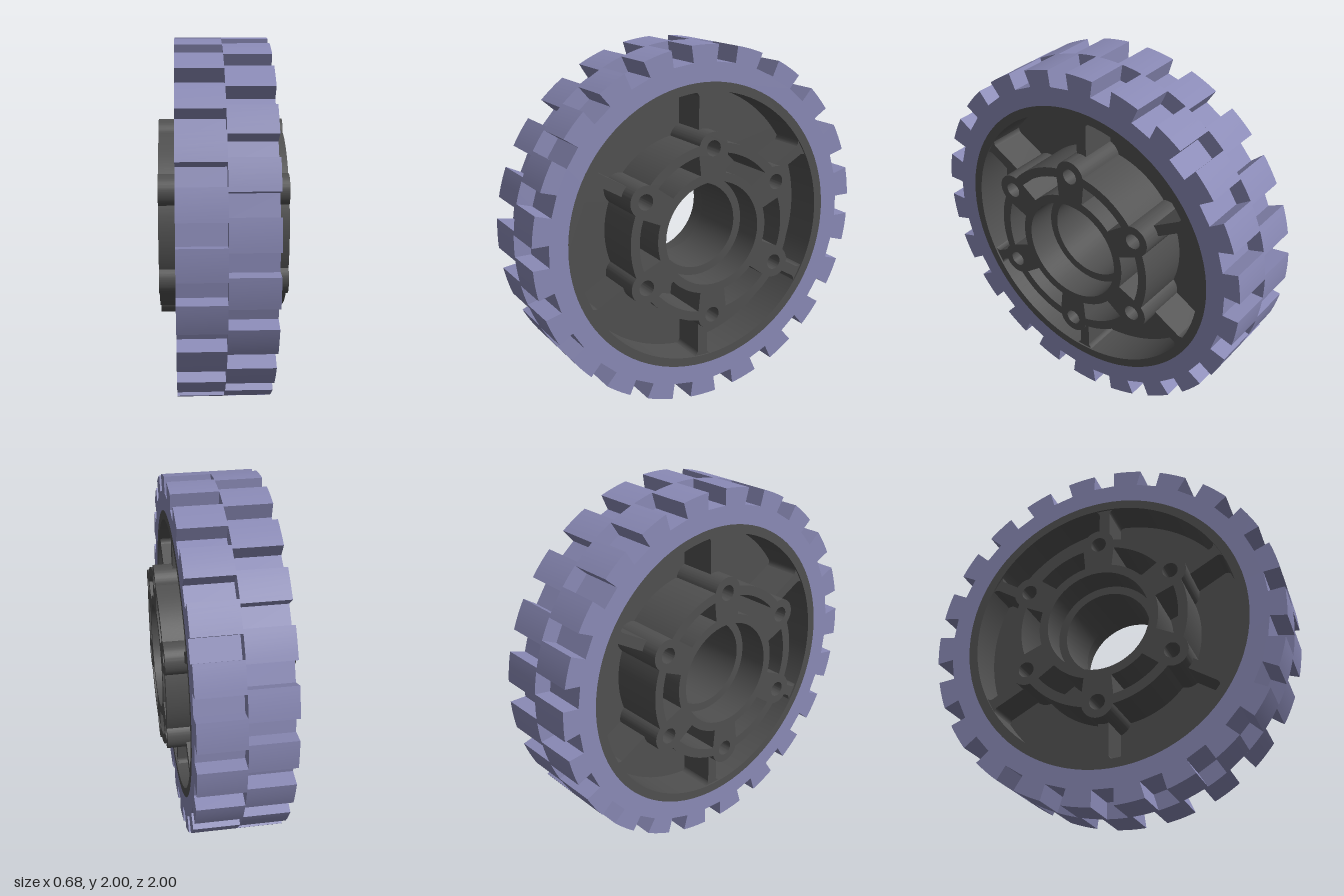
import * as THREE from 'three';
import { toCreasedNormals } from 'three/addons/utils/BufferGeometryUtils.js';

const TAU = Math.PI * 2;
const BOLT_R = 0.47, BOSS_R = 0.088, HOLE_R = 0.043;
const boltAngles = Array.from({ length: 6 }, (_, i) => Math.PI / 6 + (i * TAU) / 6);

const circle = (r, x = 0, y = 0) => new THREE.Path().absarc(x, y, r, 0, TAU, false);
const boltHoles = () => boltAngles.map(a => circle(HOLE_R, BOLT_R * Math.cos(a), BOLT_R * Math.sin(a)));

// Extrudes a profile along the axle (x) from x0 to x1, keeping curved walls smooth
function axleExtrude(shape, x0, x1, curveSegments = 24) {
  const g = new THREE.ExtrudeGeometry(shape, { depth: x1 - x0, bevelEnabled: false, curveSegments });
  g.translate(0, 0, x0);
  g.rotateY(Math.PI / 2);
  return toCreasedNormals(g, 0.5);
}

// Disc with a concentric hole
function ringShape(outer, inner) {
  const s = new THREE.Shape().absarc(0, 0, outer, 0, TAU, false);
  s.holes.push(circle(inner));
  return s;
}

// Tyre row: circle with square notches cut into its edge
function treadShape(phase) {
  const n = 22, half = 0.06, floor = 0.908, edge = Math.asin(half), pts = [];
  for (let i = 0; i < n; i++) {
    const a = ((i + phase) * TAU) / n, c = Math.cos(a), s = Math.sin(a);
    for (const side of [-half, half]) pts.push(new THREE.Vector2(floor * c - side * s, floor * s + side * c));
    const span = TAU / n - 2 * edge;
    for (let k = 0; k <= 6; k++) {
      const t = a + edge + (span * k) / 6;
      pts.push(new THREE.Vector2(Math.cos(t), Math.sin(t)));
    }
  }
  const shape = new THREE.Shape(pts);
  shape.holes.push(circle(0.805));
  return shape;
}

// Hub: round wall with six bolt bosses, a bore and curved pockets between the bosses
function hubShape() {
  const R = 0.497;
  const t = Math.acos((R * R + BOLT_R * BOLT_R - BOSS_R * BOSS_R) / (2 * R * BOLT_R));
  const b = Math.atan2(R * Math.sin(t), R * Math.cos(t) - BOLT_R);
  const s = new THREE.Shape();
  for (const a of boltAngles) {
    s.absarc(BOLT_R * Math.cos(a), BOLT_R * Math.sin(a), BOSS_R, a - b, a + b, false);
    s.absarc(0, 0, R, a + t, a + TAU / 6 - t, false);
  }
  s.holes.push(circle(0.289), ...boltHoles());
  for (const a of boltAngles) {
    const end = a + TAU / 6, pocket = new THREE.Path();
    pocket.absarc(0, 0, 0.445, a + 0.2, end - 0.2, false);
    pocket.absarc(0, 0, 0.337, end - 0.23, a + 0.23, true);
    pocket.closePath();
    s.holes.push(pocket);
  }
  return s;
}

export function createModel() {
  const model = new THREE.Group();
  model.name = 'wheel';
  const rubber = new THREE.MeshStandardMaterial({ color: 0x8a8ab6 });
  const plastic = new THREE.MeshStandardMaterial({ color: 0x505050 });
  const add = (name, geometry, material) => {
    const m = new THREE.Mesh(geometry, material);
    m.name = name;
    model.add(m);
    return m;
  };

  // Two tread rows, staggered by half a notch
  add('leftTread', axleExtrude(treadShape(0), 0, 0.25, 48), rubber);
  add('rightTread', axleExtrude(treadShape(0.5), -0.25, 0, 48), rubber);

  // Rim band inside the tyre
  add('rim', axleExtrude(ringShape(0.805, 0.755), -0.25, 0.25, 48), plastic);

  // Thin web closing the wheel in its middle plane
  const webShape = ringShape(0.77, 0.31);
  webShape.holes.push(...boltHoles());
  add('web', axleExtrude(webShape, -0.03, 0.03), plastic);

  // Hub with bolt bosses, and the narrow lip inside its bore
  add('hub', axleExtrude(hubShape(), -0.34, 0.34), plastic);
  add('boreLip', axleExtrude(ringShape(0.295, 0.243), -0.17, 0.17), plastic);

  // Spokes from each boss to the rim
  const spokeGeometry = new THREE.BoxGeometry(0.48, 0.23, 0.06).translate(0, 0.655, 0);
  for (let i = 0; i < 6; i++) add('spoke', spokeGeometry, plastic).rotation.x = (i * TAU) / 6;

  // Corner fillets where the spokes meet the rim
  const fillet = new THREE.Shape();
  fillet.moveTo(0.03, 0.758);
  fillet.lineTo(0.06, 0.756);
  fillet.quadraticCurveTo(0.03, 0.752, 0.028, 0.72);
  fillet.closePath();
  const filletGeometry = axleExtrude(fillet, -0.24, 0.24, 4);
  for (let i = 0; i < 6; i++) {
    for (const turn of [0, Math.PI]) {
      const m = add('spokeFillet', filletGeometry, plastic);
      m.rotation.set((i * TAU) / 6, turn, 0);
    }
  }

  // Stand the wheel on the ground
  for (const part of model.children) part.position.y = 1;
  return model;
}
